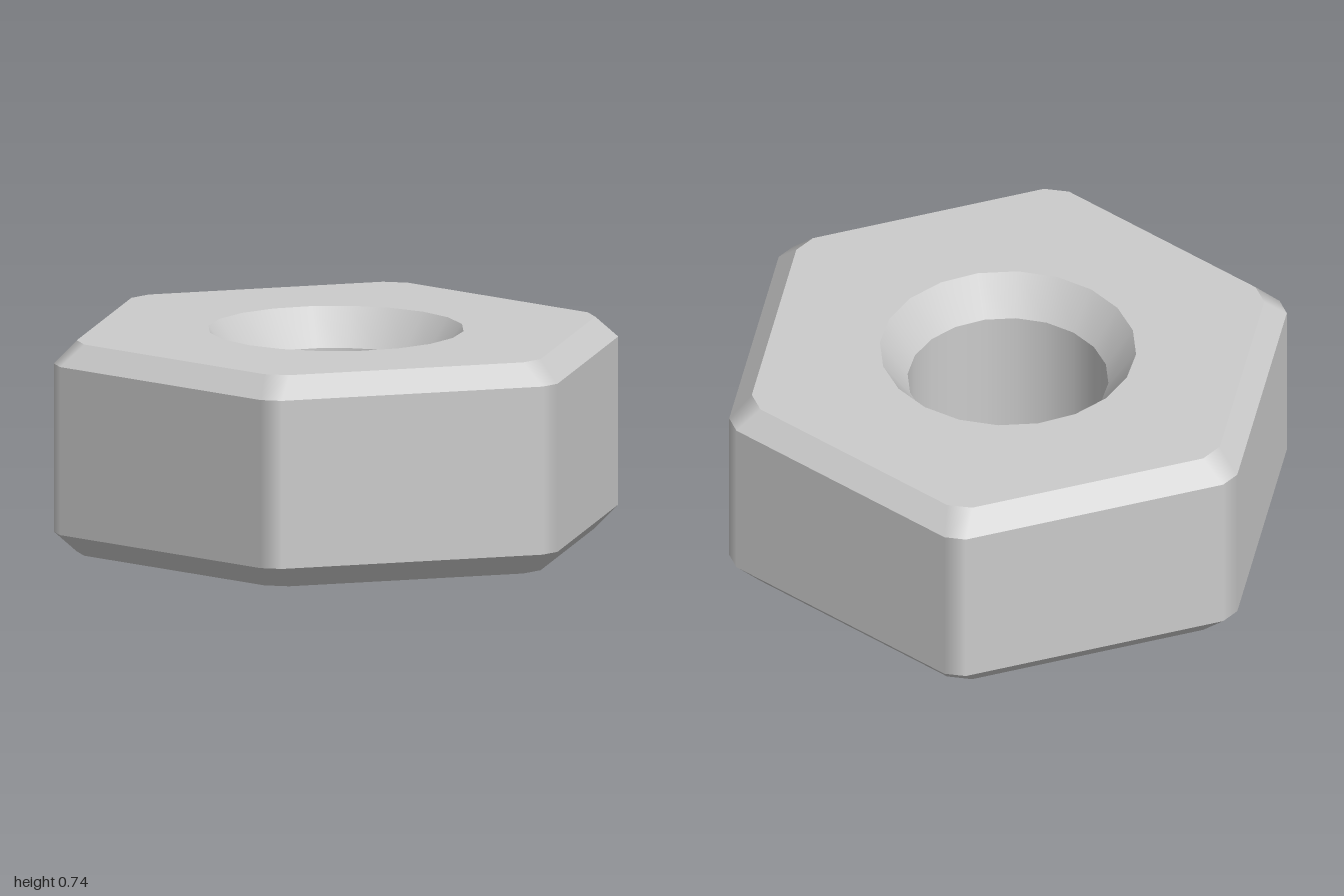
import * as THREE from 'three';

const HEIGHT = 0.735, CHAMFER = 0.075, SINK = 0.13;
const OUTER = { apothem: 0.885, half: 0.468 };
const INNER = { apothem: 0.815, half: 0.42 };
const RIM = 0.44, BORE = 0.345, SIDES = 20;

// Hexagon with clipped corners: two points per flat, each with the flat's angle
function outline({ apothem, half }) {
  const points = [];
  for (let k = 0; k < 6; k++) {
    const angle = Math.PI / 6 + k * Math.PI / 3;
    const c = Math.cos(angle), s = Math.sin(angle);
    for (const h of [-half, half]) {
      points.push({ x: apothem * c - h * s, z: apothem * s + h * c, c, s });
    }
  }
  return points;
}

// Band between two outlines: flats stay flat, the narrow corners blend
function band(lower, y0, upper, y1) {
  const dy = y1 - y0, dr = upper.apothem - lower.apothem;
  const len = Math.hypot(dy, dr);
  const position = [], normal = [], index = [];
  for (const [ring, y] of [[outline(lower), y0], [outline(upper), y1]]) {
    for (const p of ring) {
      position.push(p.x, y, p.z);
      normal.push(p.c * dy / len, -dr / len, p.s * dy / len);
    }
  }
  for (let i = 0; i < 12; i++) {
    const j = (i + 1) % 12;
    index.push(i, i + 12, j, i + 12, j + 12, j);
  }
  const geometry = new THREE.BufferGeometry();
  geometry.setAttribute('position', new THREE.Float32BufferAttribute(position, 3));
  geometry.setAttribute('normal', new THREE.Float32BufferAttribute(normal, 3));
  geometry.setIndex(index);
  return geometry;
}

// Flat hexagonal face with the round opening
function face(y, up) {
  const shape = new THREE.Shape(outline(INNER).map(p => new THREE.Vector2(p.x, p.z)));
  const hole = [];
  for (let i = 0; i < SIDES; i++) {
    const a = i / SIDES * Math.PI * 2;
    hole.push(new THREE.Vector2(RIM * Math.cos(a), RIM * Math.sin(a)));
  }
  shape.holes.push(new THREE.Path(hole));
  return new THREE.ShapeGeometry(shape).rotateX(up ? -Math.PI / 2 : Math.PI / 2).translate(0, y, 0);
}

// Inward-facing ring of the hole, profile running downwards
function holeRing(rTop, yTop, rBottom, yBottom) {
  return new THREE.LatheGeometry(
    [new THREE.Vector2(rTop, yTop), new THREE.Vector2(rBottom, yBottom)], SIDES);
}

export function createModel() {
  const group = new THREE.Group();
  group.name = 'hexNut';
  const material = new THREE.MeshStandardMaterial({ color: 0xcccccc });
  const add = (name, geometry) => {
    const mesh = new THREE.Mesh(geometry, material);
    mesh.name = name;
    group.add(mesh);
  };

  // Outer body
  add('bottomChamfer', band(INNER, 0, OUTER, CHAMFER));
  add('sideWall', band(OUTER, CHAMFER, OUTER, HEIGHT - CHAMFER));
  add('topChamfer', band(OUTER, HEIGHT - CHAMFER, INNER, HEIGHT));
  add('topFace', face(HEIGHT, true));
  add('bottomFace', face(0, false));

  // Countersunk hole
  add('topCountersink', holeRing(RIM, HEIGHT, BORE, HEIGHT - SINK));
  add('bore', holeRing(BORE, HEIGHT - SINK, BORE, SINK));
  add('bottomCountersink', holeRing(BORE, SINK, RIM, 0));

  return group;
}
